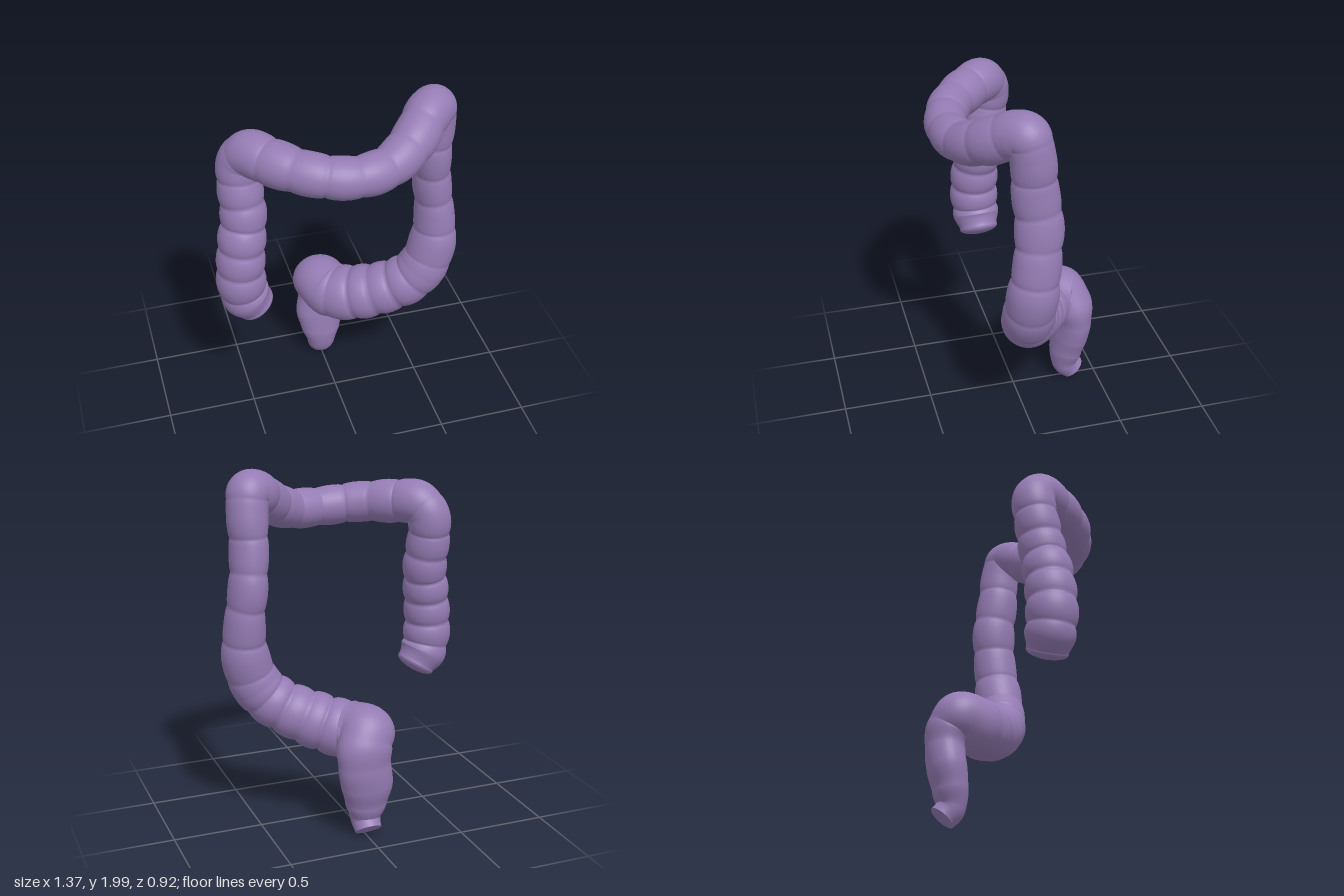
import * as THREE from 'three';

// Centre line stations: x, y, z, radius
const STATIONS = [
  [-0.478, 0.818, 0.085, 0.112], // blind end
  [-0.53, 0.9, 0.09, 0.134],
  [-0.55, 1.02, 0.095, 0.137],
  [-0.535, 1.22, 0.085, 0.134],
  [-0.51, 1.4, 0.057, 0.126],
  [-0.515, 1.58, 0.025, 0.12],
  [-0.505, 1.7, 0.015, 0.117],   // right bend
  [-0.46, 1.76, 0.06, 0.122],
  [-0.38, 1.757, 0.155, 0.122],
  [-0.2, 1.74, 0.3, 0.112],
  [0, 1.72, 0.353, 0.109],
  [0.2, 1.73, 0.31, 0.111],
  [0.35, 1.795, 0.215, 0.12],
  [0.455, 1.865, 0.11, 0.121],
  [0.507, 1.875, 0.065, 0.118],  // left bend
  [0.525, 1.77, 0.04, 0.114],
  [0.525, 1.6, 0.028, 0.12],
  [0.54, 1.4, 0.008, 0.126],
  [0.56, 1.2, 0.02, 0.125],
  [0.555, 1.0, 0.04, 0.136],
  [0.495, 0.83, 0.045, 0.14],    // start of the S-curve
  [0.39, 0.72, 0.015, 0.145],
  [0.14, 0.6, -0.105, 0.16],
  [0.03, 0.58, -0.19, 0.162],
  [-0.015, 0.6, -0.28, 0.144],   // turn downwards
  [0.015, 0.54, -0.335, 0.122],
  [0.02, 0.43, -0.352, 0.105],
  [0.002, 0.32, -0.342, 0.105],
  [-0.002, 0.2, -0.322, 0.094],
  [0, 0.105, -0.32, 0.078],
  [0, 0.053, -0.362, 0.074],
];
// Sections between stations: sideways stretch, crease depth and pouch length
const PARTS = [
  { name: 'ascendingColon', from: 0, to: 6, stretch: 0.95, crease: 0.15, pouch: 0.135 },
  { name: 'transverseColon', from: 6, to: 14, stretch: 1, crease: 0.1, pouch: 0.16 },
  { name: 'descendingColon', from: 14, to: 20, stretch: 0.82, crease: 0.12, pouch: 0.19 },
  { name: 'sigmoidColon', from: 20, to: 23, stretch: 1, crease: 0.12, pouch: 0.125 },
  { name: 'rectum', from: 23, to: 30, stretch: 1.42, crease: 0, pouch: 0.125 },
];
const STEPS = 20, SIDES = 36, CAP = 6;

// Triangles joining neighbouring rings
function strip(from, to) {
  const index = [];
  for (let i = from; i < to; i++) {
    for (let j = 0; j < SIDES; j++) {
      const a = i * SIDES + j, b = i * SIDES + (j + 1) % SIDES;
      index.push(a, b, a + SIDES, b, b + SIDES, a + SIDES);
    }
  }
  return index;
}

export function createModel() {
  const group = new THREE.Group();
  const material = new THREE.MeshStandardMaterial({ color: 0x957cb4, side: THREE.DoubleSide });
  const last = STATIONS.length - 1, count = last * STEPS;
  const curve = new THREE.CatmullRomCurve3(STATIONS.map(s => new THREE.Vector3(s[0], s[1], s[2])));
  const positions = [];

  const addRing = (centre, normal, binormal, radius, stretch) => {
    for (let j = 0; j < SIDES; j++) {
      const a = j / SIDES * Math.PI * 2;
      const o = normal.clone().multiplyScalar(Math.cos(a) * radius)
        .addScaledVector(binormal, Math.sin(a) * radius);
      positions.push(centre.x + o.x * stretch, centre.y + o.y, centre.z + o.z);
    }
  };

  // Sweep rings along the centre line, carrying one normal so nothing twists
  const normal = new THREE.Vector3(0, 0, 1), previous = curve.getPoint(0);
  let phase = 0;
  for (let i = 0; i <= count; i++) {
    const t = i / count, s = i / STEPS, p = curve.getPoint(t), tangent = curve.getTangent(t);
    normal.addScaledVector(tangent, -normal.dot(tangent)).normalize();
    const binormal = tangent.clone().cross(normal);
    const part = PARTS.find(q => s <= q.to);
    phase += p.distanceTo(previous) / part.pouch;
    previous.copy(p);

    // Stretch and creases fade out towards the ends of each section
    const fade = Math.max(0, Math.sin(Math.PI * (s - part.from) / (part.to - part.from)));
    const stretch = 1 + (part.stretch - 1) * fade * fade;
    const pouch = Math.sqrt(Math.abs(Math.sin(phase * Math.PI)));
    const k = Math.min(Math.floor(s), last - 1);
    const base = THREE.MathUtils.lerp(STATIONS[k][3], STATIONS[k + 1][3], THREE.MathUtils.smoothstep(s - k, 0, 1));
    const radius = base * (1 + part.crease * Math.pow(fade, 0.4) * (pouch - 0.85));

    // Rounded blind end
    for (let c = 0; i === 0 && c < CAP; c++) {
      const a = (1 - c / CAP) * Math.PI / 2;
      addRing(p.clone().addScaledVector(tangent, -0.04 * Math.sin(a)), normal, binormal,
        Math.max(radius * Math.cos(a), 0.0005), stretch);
    }
    addRing(p, normal, binormal, radius, stretch);
  }

  // Normals are found on the whole tube so the sections meet without seams
  const whole = new THREE.BufferGeometry();
  whole.setAttribute('position', new THREE.Float32BufferAttribute(positions, 3));
  whole.setIndex(strip(0, count + CAP));
  whole.computeVertexNormals();
  for (const { name, from, to } of PARTS) {
    const geometry = new THREE.BufferGeometry();
    geometry.setAttribute('position', whole.getAttribute('position'));
    geometry.setAttribute('normal', whole.getAttribute('normal'));
    geometry.setIndex(strip(from === 0 ? 0 : from * STEPS + CAP, to * STEPS + CAP));
    const mesh = new THREE.Mesh(geometry, material);
    mesh.name = name;
    group.add(mesh);
  }

  // Flat disc closing the lower end
  const end = new THREE.Mesh(new THREE.CircleGeometry(STATIONS[last][3], SIDES), material);
  end.name = 'lowerEnd';
  end.position.copy(curve.getPoint(1));
  end.lookAt(end.position.clone().add(curve.getTangent(1)));
  group.add(end);
  return group;
}
